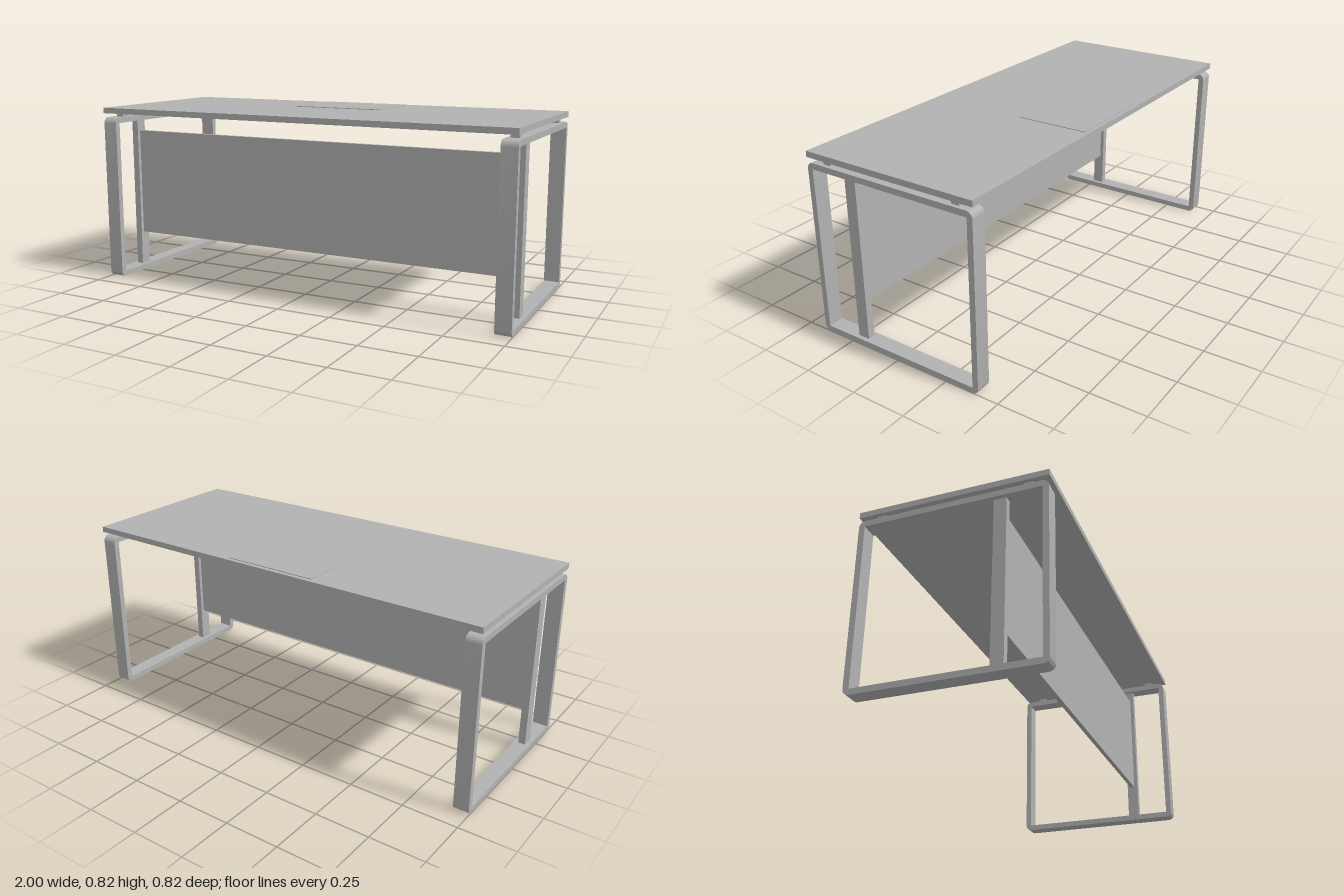
import * as THREE from 'three';
import { toCreasedNormals } from 'three/addons/utils/BufferGeometryUtils.js';

const grey = new THREE.MeshStandardMaterial({ color: 0xb2b2b2 });
grey.name = 'grey';

// Box given by its extents on each axis
function box(name, [x0, x1], [y0, y1], [z0, z1]) {
  const mesh = new THREE.Mesh(new THREE.BoxGeometry(x1 - x0, y1 - y0, z1 - z0), grey);
  mesh.position.set((x0 + x1) / 2, (y0 + y1) / 2, (z0 + z1) / 2);
  mesh.name = name;
  return mesh;
}

// Closed loop leg: rounded outside corners, square opening
function loopFrame() {
  const w = 0.408, h = 0.775, r = 0.028, t = 0.026;
  const shape = new THREE.Shape();
  shape.absarc(w - r, r, r, -Math.PI / 2, 0);
  shape.absarc(w - r, h - r, r, 0, Math.PI / 2);
  shape.absarc(-w + r, h - r, r, Math.PI / 2, Math.PI);
  shape.absarc(-w + r, r, r, Math.PI, Math.PI * 1.5);
  shape.closePath();
  const hole = new THREE.Path();
  hole.moveTo(-w + t, t);
  hole.lineTo(-w + t, h - t);
  hole.lineTo(w - t, h - t);
  hole.lineTo(w - t, t);
  hole.closePath();
  shape.holes.push(hole);
  const geometry = new THREE.ExtrudeGeometry(shape, { depth: 0.07, bevelEnabled: false, curveSegments: 8 });
  geometry.translate(0, 0, -0.035);
  geometry.rotateY(Math.PI / 2);
  return toCreasedNormals(geometry, 0.6);
}

export function createModel() {
  const desk = new THREE.Group();
  desk.name = 'desk';

  // Top with a thin raised cover plate near the back
  desk.add(box('tableTop', [-1, 1], [0.795, 0.821], [-0.41, 0.41]));
  desk.add(box('coverPlate', [-0.22, 0.22], [0.821, 0.824], [-0.39, -0.063]));

  // Modesty panel between the posts
  desk.add(box('modestyPanel', [-0.95, 0.95], [0.187, 0.697], [0.192, 0.212]));

  // Side assemblies
  const frameGeometry = loopFrame();
  for (const side of [-1, 1]) {
    const leg = new THREE.Group();
    leg.name = side > 0 ? 'leftLeg' : 'rightLeg';
    leg.position.x = side * 0.965;

    const frame = new THREE.Mesh(frameGeometry, grey);
    frame.name = 'loopFrame';
    leg.add(frame);
    leg.add(box('panelPost', [-0.016, 0.016], [0.026, 0.749], [0.175, 0.229]));

    // Spacers holding the top above the frame
    for (const z of [-0.318, 0.318]) {
      leg.add(box('spacer', [-0.018, 0.018], [0.775, 0.795], [z - 0.018, z + 0.018]));
    }
    desk.add(leg);
  }
  return desk;
}
